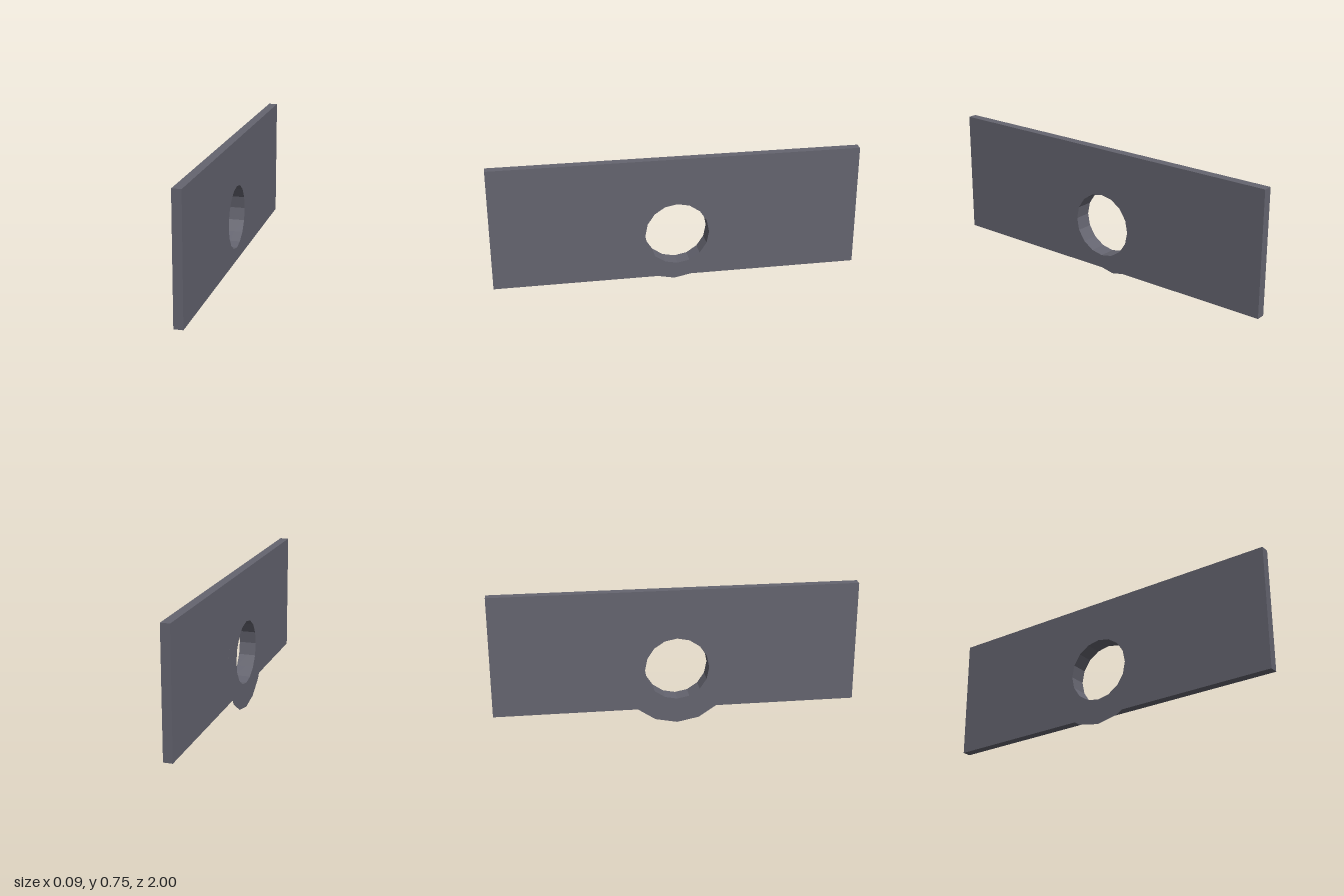
import * as THREE from 'three';

const SIDES = 16, HOLE_R = 0.175, FLANGE_R = 0.315, CENTRE_Y = 0.315;
const X_FLANGE = -0.047, X_BACK = -0.003, X_FACE = 0.046;

export function createModel() {
  const group = new THREE.Group();
  const metal = new THREE.MeshStandardMaterial({ color: 0x64646f, flatShading: true, side: THREE.DoubleSide });
  metal.name = 'grey metal';

  const add = (name, geometry, x, y) => {
    const mesh = new THREE.Mesh(geometry, metal);
    mesh.name = name;
    mesh.position.set(x, y, 0);
    group.add(mesh);
  };

  // Long upright plate with a sixteen-sided hole, drawn around the hole centre
  const bottom = 0.068 - CENTRE_Y, top = 0.746 - CENTRE_Y;
  const outline = new THREE.Shape([
    new THREE.Vector2(-1, bottom), new THREE.Vector2(1, bottom),
    new THREE.Vector2(1, top), new THREE.Vector2(-1, top),
  ]);
  const rim = [];
  for (let i = 0; i < SIDES; i++) {
    const a = (i / SIDES) * Math.PI * 2;
    rim.push(new THREE.Vector2(Math.cos(a) * HOLE_R, Math.sin(a) * HOLE_R));
  }
  outline.holes.push(new THREE.Path(rim));
  const plate = new THREE.ExtrudeGeometry(outline, { depth: X_FACE - X_BACK, bevelEnabled: false });
  plate.rotateY(Math.PI / 2);
  add('plate', plate, X_BACK, CENTRE_Y);

  // Thin-walled collar joining the hole to the flange
  const collar = new THREE.CylinderGeometry(HOLE_R, HOLE_R, X_BACK - X_FLANGE, SIDES, 1, true);
  collar.rotateZ(Math.PI / 2);
  add('collar', collar, (X_BACK + X_FLANGE) / 2, CENTRE_Y);

  // Flat ring at the end of the collar
  const flange = new THREE.RingGeometry(HOLE_R, FLANGE_R, SIDES, 1);
  flange.rotateY(-Math.PI / 2);
  add('flange', flange, X_FLANGE, CENTRE_Y);

  return group;
}
